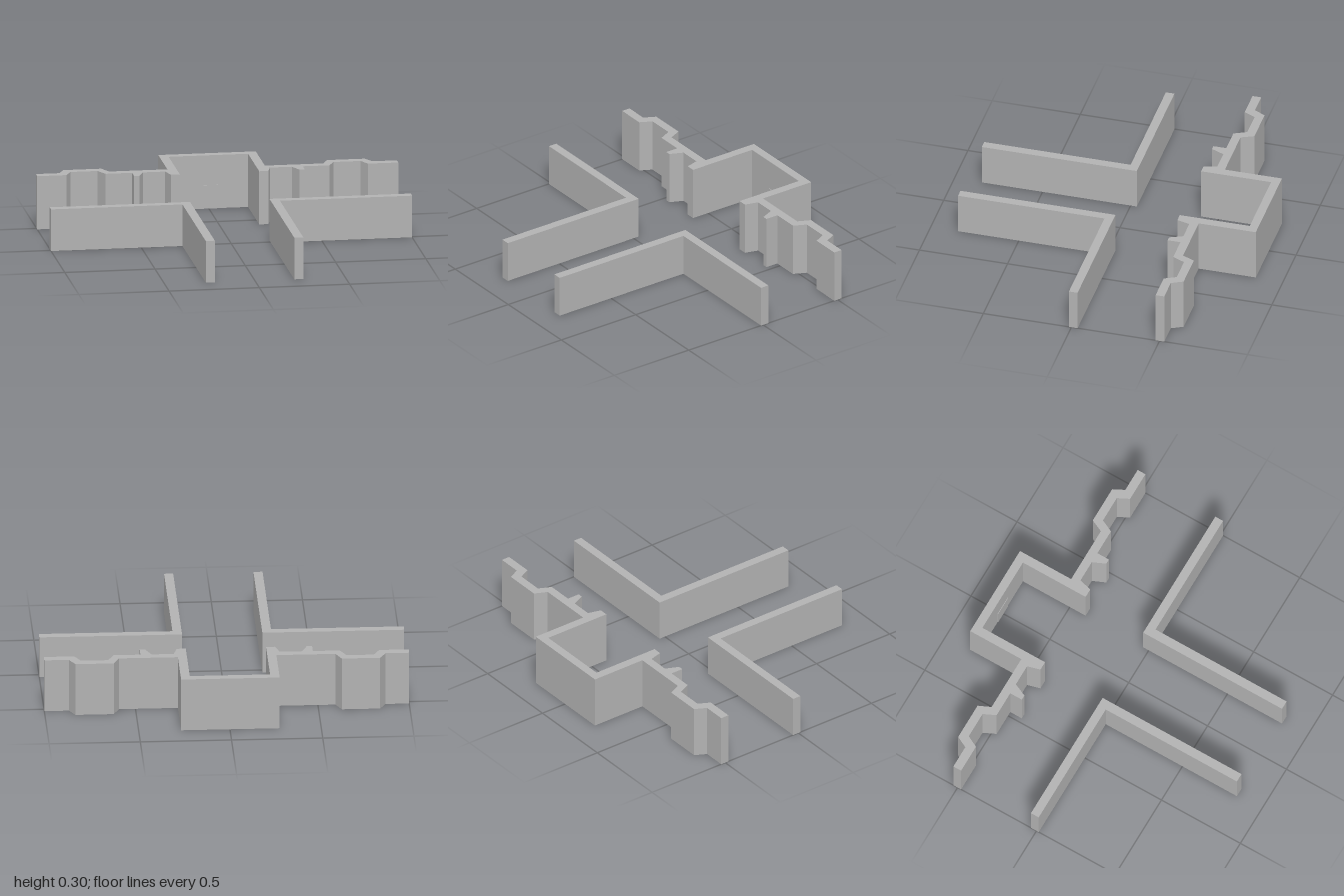
import * as THREE from 'three';

const AXIS = -0.0025; // the plan is mirrored about this x

// Extrudes a floor-plan outline of [x, z] points up from the ground.
function wall(name, outline, height, material) {
  const shape = new THREE.Shape(outline.map(([x, z]) => new THREE.Vector2(x, -z)));
  const geometry = new THREE.ExtrudeGeometry(shape, { depth: height, bevelEnabled: false });
  geometry.rotateX(-Math.PI / 2);
  const mesh = new THREE.Mesh(geometry, material);
  mesh.name = name;
  return mesh;
}

// Places half-plan points on one side; the ends are trimmed at x = +-1.
const place = (points, side) =>
  points.map(([u, z]) => [THREE.MathUtils.clamp(AXIS + side * u, -1, 1), z]);

export function createModel() {
  const group = new THREE.Group();
  group.name = 'wallLayout';
  const grey = new THREE.MeshStandardMaterial({ color: 0xb2b2b2 });
  grey.name = 'plaster grey';

  // Rear wall: alcove, corner pier, pilaster and bay, from centre outwards and back
  const half = [
    [0.22, -0.797], [0.22, -0.4], [0.27, -0.4], [0.29, -0.473],
    [0.412, -0.473], [0.444, -0.4], [0.4725, -0.4], [0.4725, -0.473],
    [0.62, -0.473], [0.653, -0.543], [0.803, -0.543], [0.836, -0.478],
    [1.1, -0.478], [1.1, -0.527], [0.868, -0.527], [0.835, -0.591],
    [0.625, -0.591], [0.593, -0.521], [0.27, -0.521], [0.27, -0.845],
  ];
  const rear = [...place(half, 1), ...place(half, -1).reverse()];
  group.add(wall('rearWall', rear, 0.3, grey));

  // Low doorway panel on the inside of the alcove
  const door = new THREE.Mesh(new THREE.BoxGeometry(0.11, 0.132, 0.004), grey);
  door.position.set(-0.003, 0.066, -0.796);
  door.name = 'doorPanel';
  group.add(door);

  // Front L-shaped walls, lower than the rear
  const corner = [
    [0.22, -0.035], [1.1, -0.035], [1.1, 0.014],
    [0.27, 0.014], [0.27, 0.845], [0.22, 0.845],
  ];
  for (const [name, side] of [['leftCornerWall', 1], ['rightCornerWall', -1]]) {
    group.add(wall(name, place(corner, side), 0.235, grey));
  }
  return group;
}
